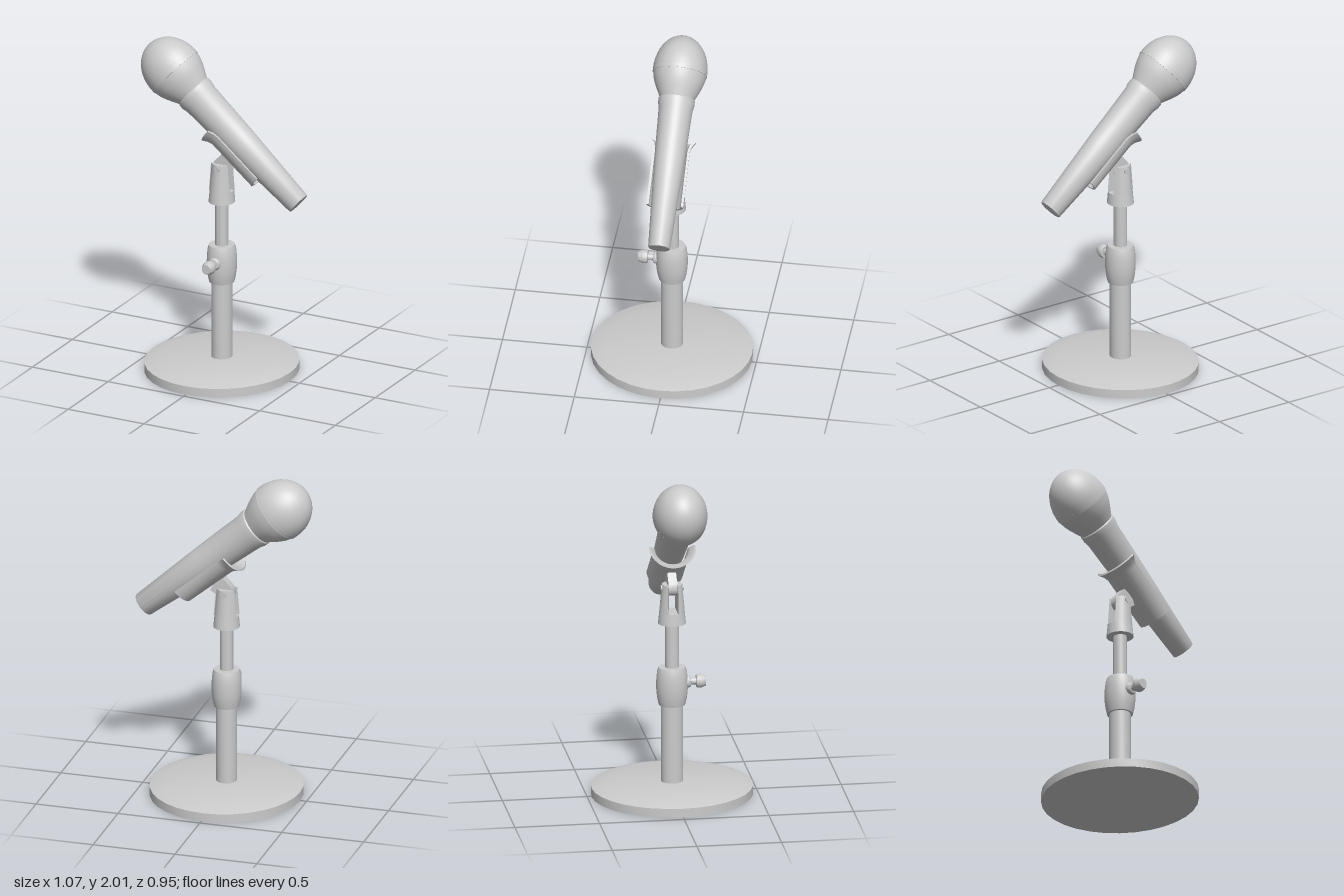
import * as THREE from 'three';
import { toCreasedNormals } from 'three/addons/utils/BufferGeometryUtils.js';

const grey = new THREE.MeshStandardMaterial({ color: 0xcccccc });
const greyDouble = new THREE.MeshStandardMaterial({ color: 0xcccccc, side: THREE.DoubleSide });

function part(name, geometry, parent, material = grey) {
  const mesh = new THREE.Mesh(geometry, material);
  mesh.name = name;
  parent.add(mesh);
  return mesh;
}

// Turned solid from [radius, height] pairs, edges kept sharp
function turned(pairs, segments = 32, start = 0, sweep = Math.PI * 2) {
  const points = pairs.map(([r, y]) => new THREE.Vector2(r, y));
  return toCreasedNormals(new THREE.LatheGeometry(points, segments, start, sweep), 0.55);
}

function createStand() {
  const stand = new THREE.Group();
  stand.name = 'stand';
  stand.position.x = -0.012;
  stand.scale.x = 0.945;

  part('base', turned([[0, 0], [0.475, 0], [0.475, 0.053], [0.37, 0.08], [0, 0.08]]), stand);
  part('lowerTube', turned([[0.065, 0.07], [0.065, 0.57]]), stand);
  part('upperTube', turned([[0.041, 0.75], [0.041, 1.07]]), stand);
  part('heightClutch', turned([
    [0.06, 0.55], [0.078, 0.55], [0.086, 0.585], [0.092, 0.63], [0.093, 0.67],
    [0.092, 0.71], [0.087, 0.755], [0.079, 0.78], [0.036, 0.78],
  ]), stand);

  // Tightening knob pointing to the front
  const knob = part('clutchKnob', turned([
    [0.038, 0.08], [0.038, 0.097], [0.031, 0.109], [0.02, 0.111], [0.02, 0.143],
    [0.037, 0.143], [0.041, 0.152], [0.041, 0.172], [0.03, 0.198], [0, 0.198],
  ], 20), stand);
  knob.rotation.x = Math.PI / 2;
  knob.position.y = 0.685;

  // Forked holder: solid foot, two prongs with flat inner faces
  part('forkFoot', turned([[0, 1.05], [0.082, 1.05], [0.075, 1.12], [0, 1.12]]), stand);
  for (const side of [1, -1]) {
    const prong = new THREE.CylinderGeometry(0.06, 0.075, 0.17, 32, 1);
    const pos = prong.attributes.position;
    for (let i = 0; i < pos.count; i++) {
      pos.setZ(i, side > 0 ? Math.max(pos.getZ(i), 0.028) : Math.min(pos.getZ(i), -0.028));
    }
    part('forkProng', toCreasedNormals(prong, 0.55), stand).position.y = 1.205;
  }
  const bolt = part('hingeBolt', new THREE.CylinderGeometry(0.018, 0.018, 0.135, 16), stand);
  bolt.rotation.x = Math.PI / 2;
  bolt.position.y = 1.268;
  return stand;
}

// Flat tongue joining the hinge to the clip
function createTongue() {
  const shape = new THREE.Shape();
  shape.moveTo(-0.06, 1.27);
  shape.lineTo(-0.05, 1.3);
  shape.lineTo(0.0, 1.355);
  shape.lineTo(0.06, 1.325);
  shape.lineTo(0.08, 1.275);
  shape.lineTo(0.035, 1.245);
  shape.absarc(-0.012, 1.268, 0.048, -0.4, -Math.PI, true);
  const geometry = new THREE.ExtrudeGeometry(shape, { depth: 0.052, bevelEnabled: false });
  geometry.translate(0, 0, -0.026);
  return toCreasedNormals(geometry, 0.55);
}

// Half-round cradle with a flared front lip
function createClip() {
  const clip = new THREE.Group();
  clip.name = 'clip';
  clip.position.x = -0.027;
  const outline = [
    [0.095, 0.265], [0.109, 0.265], [0.109, 0.6], [0.118, 0.63],
    [0.14, 0.662], [0.13, 0.668], [0.105, 0.64], [0.095, 0.605], [0.095, 0.265],
  ];
  part('cradle', turned(outline, 20, Math.PI, Math.PI), clip, greyDouble);
  const edge = new THREE.Shape(outline.map(([r, y]) => new THREE.Vector2(r, y)));
  for (const side of [1, -1]) {
    const cap = new THREE.ShapeGeometry(edge);
    cap.rotateY(side * Math.PI / 2);
    part('cradleEdge', cap, clip, greyDouble);
  }
  return clip;
}

function createMicrophone() {
  const mic = new THREE.Group();
  mic.name = 'microphone';
  mic.scale.z = 0.88;

  part('handle', turned([
    [0, 0], [0.07, 0], [0.073, 0.006], [0.1, 0.5], [0.113, 0.84],
    [0.121, 0.87], [0.121, 0.9], [0.108, 0.915], [0, 0.915],
  ], 40), mic);

  // Lower cup of the head, narrow band, then the rounded grille
  part('headCup', turned([
    [0, 0.9], [0.112, 0.9], [0.126, 0.926], [0.142, 0.955], [0.157, 0.985],
    [0.169, 1.015], [0.177, 1.05], [0.178, 1.055],
  ], 40), mic);
  part('headBand', turned([[0.176, 1.054], [0.181, 1.054], [0.181, 1.078], [0.178, 1.078]], 40), mic);
  const dome = [];
  for (let i = 0; i <= 14; i++) {
    const a = (i / 14) * Math.PI / 2;
    dome.push([i === 14 ? 0 : 0.181 * Math.cos(a), 1.076 + 0.209 * Math.sin(a)]);
  }
  part('grille', turned(dome, 40), mic);
  return mic;
}

export function createModel() {
  const model = new THREE.Group();
  model.name = 'microphoneOnStand';
  model.add(createStand());
  part('hingeTongue', createTongue(), model);

  // Tilted assembly: local y runs from the tail to the head
  const tilted = new THREE.Group();
  tilted.name = 'tiltedAssembly';
  tilted.position.set(0.495, 1.125, 0);
  tilted.rotation.z = 0.876;
  tilted.add(createMicrophone(), createClip());
  model.add(tilted);
  return model;
}
